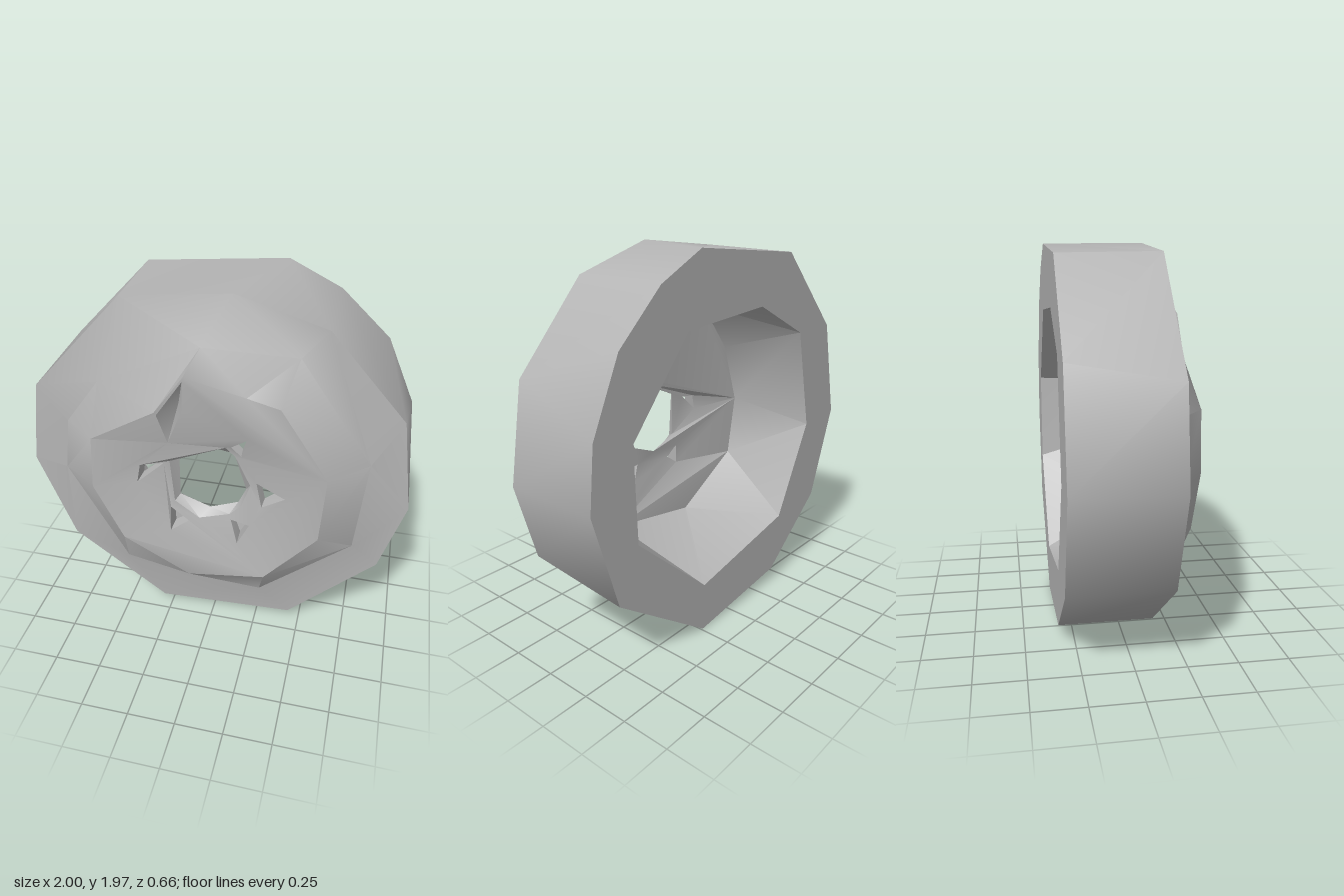
import * as THREE from 'three';
import { toCreasedNormals } from 'three/addons/utils/BufferGeometryUtils.js';

const CENTRE = [0, 0.98];

// Give a flat outline one depth, or a depth rule
const ring = (pts, z) => pts.map(([x, y]) => [x, y, typeof z === 'function' ? z(x, y) : z]);
const middle = (pts) => [0, 1].map((k) => pts.reduce((s, p) => s + p[k], 0) / pts.length);
const shrink = (pts, f, [cx, cy]) => pts.map(([x, y]) => [cx + (x - cx) * f, cy + (y - cy) * f]);

// Skin two rings whose point counts may differ, stepping round by angle
function loft(from, to, [cx, cy] = CENTRE) {
  const angle = (p) => Math.atan2(p[1] - cy, p[0] - cx);
  const a = [...from].sort((p, q) => angle(p) - angle(q));
  const b = [...to].sort((p, q) => angle(p) - angle(q));
  const at = (r, i) => r[i % r.length];
  const turn = (r, i) => angle(at(r, i)) + (i >= r.length ? Math.PI * 2 : 0);
  const out = [];
  let i = 0, j = 0;
  while (i < a.length || j < b.length) {
    const stepA = j >= b.length || (i < a.length && turn(a, i + 1) <= turn(b, j + 1));
    if (stepA) out.push(at(a, i), at(a, ++i), at(b, j));
    else out.push(at(a, i), at(b, j + 1), at(b, j++));
  }
  return out;
}

// Fill an outline with holes, facing front or back
function plate(outline, holes, z, front) {
  const c = [...outline].sort((p, q) =>
    Math.atan2(p[1] - CENTRE[1], p[0]) - Math.atan2(q[1] - CENTRE[1], q[0]));
  const v2 = (list) => list.map(([x, y]) => new THREE.Vector2(x, y));
  const faces = THREE.ShapeUtils.triangulateShape(v2(c), holes.map(v2));
  const all = ring([...c, ...holes.flat()], z);
  return faces.flatMap((f) => {
    const [p, q, r] = f.map((k) => all[k]);
    const area = (q[0] - p[0]) * (r[1] - p[1]) - (q[1] - p[1]) * (r[0] - p[0]);
    return (area > 0) === front ? [p, q, r] : [p, r, q];
  });
}

export function createModel() {
  const group = new THREE.Group();
  group.name = 'wheel';
  const metal = new THREE.MeshStandardMaterial({ color: 0xb4b4b4, side: THREE.DoubleSide });
  metal.name = 'greyMetal';

  const add = (name, triangles, crease = 0.55) => {
    let g = new THREE.BufferGeometry();
    g.setAttribute('position', new THREE.Float32BufferAttribute(triangles.flat(), 3));
    g = toCreasedNormals(g, crease);
    const mesh = new THREE.Mesh(g, metal);
    mesh.name = name;
    group.add(mesh);
  };

  // Outer rim outlines
  const backRim = ring([[0.27, 1.97], [0.54, 1.84], [0.8, 1.6], [0.96, 1.25], [0.99, 0.93], [0.84, 0.43],
    [0.24, 0], [-0.4, 0.08], [-0.82, 0.42], [-1, 0.92], [-0.88, 1.46], [-0.46, 1.9]], -0.33);
  const frontRim = ring([[0.1, 1.97], [0.54, 1.84], [0.92, 1.42], [1, 0.93], [0.89, 0.53], [0.44, 0.07],
    [-0.3, 0.03], [-0.82, 0.42], [-1, 0.92], [-0.93, 1.38], [-0.44, 1.91]], 0.175);

  // Raised front: foot of the slope and the crest of the dish
  const slopeFoot = [...ring([[0.42, 1.7], [0.79, 1.17], [0.75, 0.65], [0.27, 0.23],
    [-0.5, 0.32], [-0.81, 0.9], [-0.77, 1.2]], 0.193), [-0.57, 1.47, 0.22], [-0.03, 1.74, 0.27]];
  const crest = [[-0.1, 1.61], [0.2, 1.54], [0.36, 1.5], [0.6, 1.14], [0.58, 0.77], [0.31, 0.45],
    [-0.1, 0.385], [-0.46, 0.58], [-0.61, 0.9], [-0.59, 1.2], [-0.25, 1.4]];

  // Dish depth by distance from the axle
  const depth = (hub, edge, near, far) => (x, y) => {
    const r = Math.hypot(x, y - CENTRE[1]);
    return THREE.MathUtils.mapLinear(THREE.MathUtils.clamp(r, near, far), near, far, hub, edge);
  };
  const frontZ = depth(0.265, 0.328, 0.2, 0.49);
  const backZ = depth(0.23, 0.15, 0.35, 0.64);

  // Centre bore, five bolt holes and a dent
  const bore = [[-0.2, 1.09], [0.09, 1.22], [0.14, 1.17], [0.22, 1.01], [0.17, 0.86], [0.11, 0.8],
    [-0.05, 0.75], [-0.18, 0.84]];
  const boreBack = [[-0.16, 1.1], [0, 1.18], [0.13, 1.16], [0.19, 0.95], [0.15, 0.86], [0, 0.8],
    [-0.16, 0.86]];
  const bolts = [
    [[0.12, 1.23], [0.21, 1.3], [0.17, 1.18]],
    [[0.25, 1.03], [0.4, 0.98], [0.28, 0.89]],
    [[0.12, 0.77], [0.22, 0.76], [0.16, 0.64]],
    [[-0.2, 0.8], [-0.1, 0.73], [-0.2, 0.66]],
    [[-0.35, 1.06], [-0.23, 1.075], [-0.37, 0.95]],
  ];
  const boltsBack = bolts.map((b) => shrink(b, 0.75, middle(b)));
  const dent = [[-0.105, 1.585], [-0.24, 1.385], [-0.2, 1.21], [-0.11, 1.43]];

  // Back: foot of the barrel and its opening
  const barrelFoot = [[0.25, 1.62], [0.69, 1.165], [0.66, 0.84], [0.36, 0.49], [-0.195, 0.4],
    [-0.595, 0.645], [-0.655, 0.98], [-0.545, 1.32], [-0.335, 1.59]];
  const opening = ring([[0.36, 1.615], [0.73, 1.18], [0.71, 0.69], [0.23, 0.26], [-0.46, 0.4],
    [-0.715, 0.9], [-0.59, 1.46], [-0.215, 1.65]], -0.33);

  add('tread', loft(backRim, frontRim), 0.7);
  add('frontFace', [
    ...loft(frontRim, slopeFoot),
    ...loft(slopeFoot, ring(crest, frontZ)),
    ...plate(crest, [bore, ...bolts, dent], frontZ, true),
  ]);
  add('backDish', plate(barrelFoot, [boreBack, ...boltsBack], backZ, false));
  add('barrel', loft(ring(barrelFoot, backZ), opening));
  add('backFace', loft(opening, backRim));
  add('bore', loft(ring(bore, frontZ), ring(boreBack, backZ)));
  bolts.forEach((b, i) =>
    add('boltHole' + (i + 1), loft(ring(b, frontZ), ring(boltsBack[i], backZ), middle(b))));

  // Sunken floor of the dent
  const floor = [-0.15, 1.42, 0.24];
  const lip = ring(dent, frontZ);
  add('dent', lip.flatMap((p, i) => [p, lip[(i + 1) % lip.length], floor]));

  return group;
}
